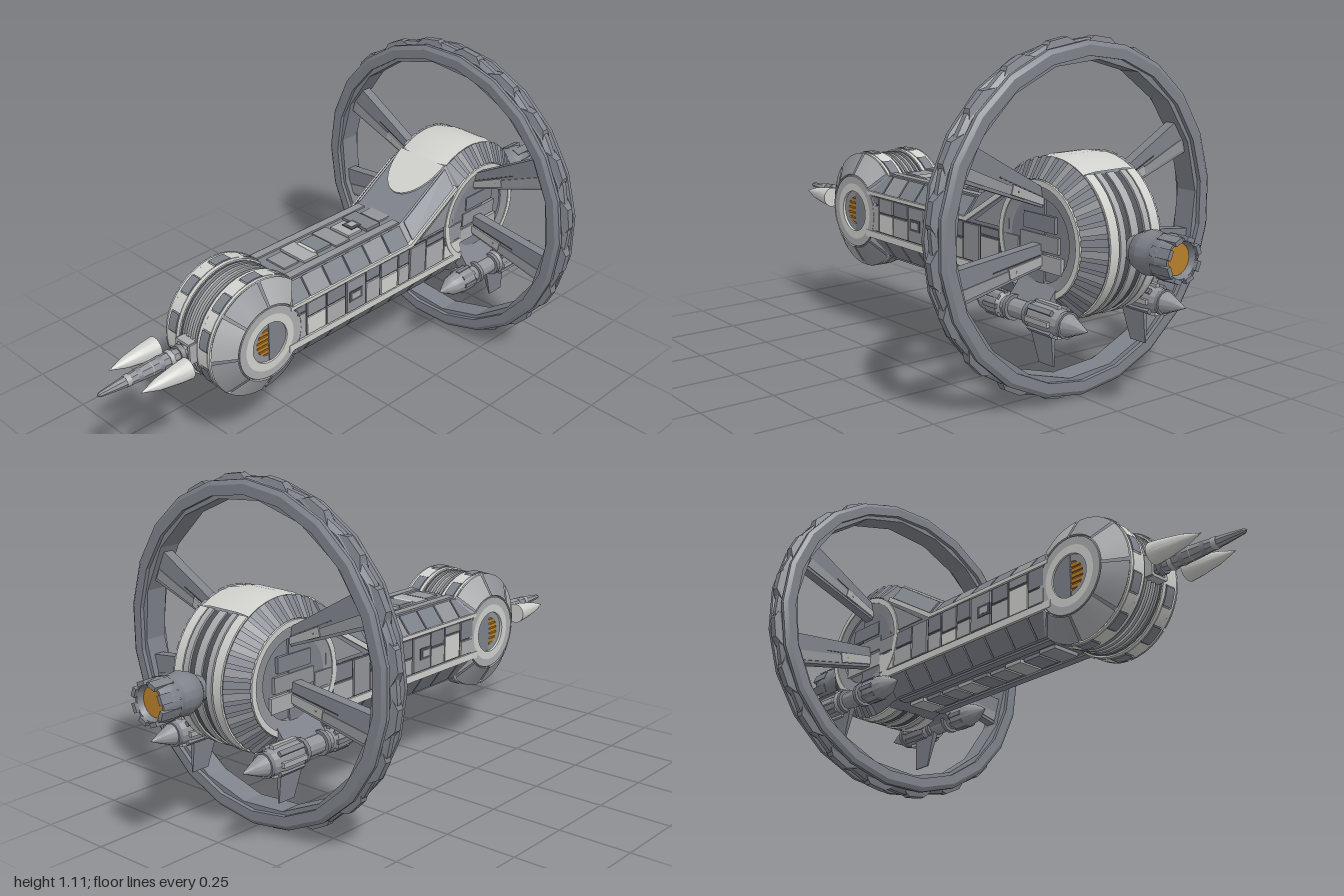
import * as THREE from 'three';
import { toCreasedNormals } from 'three/addons/utils/BufferGeometryUtils.js';
import { ConvexGeometry } from 'three/addons/geometries/ConvexGeometry.js';

const mat = (name, color) => Object.assign(new THREE.MeshStandardMaterial({ color }), { name });
const V = (x, y, z) => new THREE.Vector3(x, y, z);
const rad = THREE.MathUtils.degToRad;

export function createModel() {
  const root = new THREE.Group();
  root.name = 'spaceship';
  const hull = mat('hullGrey', 0x929499), steel = mat('steelBlue', 0x7e828a), dark = mat('darkGap', 0x505359);
  const pale = mat('paleGrey', 0xd0d0cd), mid = mat('midGrey', 0xacadaf), gold = mat('gold', 0xb97f2a);

  let seed = 7;
  const rnd = () => (seed = (seed * 16807) % 2147483647) / 2147483647;

  const add = (name, geo, m, x = 0, y = 0, z = 0) => {
    const mesh = new THREE.Mesh(geo, m);
    mesh.name = name;
    mesh.position.set(x, y, z);
    root.add(mesh);
    return mesh;
  };
  const box = (name, m, w, h, d, x, y, z) => add(name, new THREE.BoxGeometry(w, h, d), m, x, y, z);
  const solid = (name, m, pts) => add(name, new ConvexGeometry(pts), m);

  // Turned part; closed profiles of [radius, along] are oriented outwards
  const turn = (profile, sides, start = 0, length = Math.PI * 2, closed = false, crease = 0.5) => {
    let p = profile.map(([r, a]) => new THREE.Vector2(r, a));
    if (closed) {
      if (THREE.ShapeUtils.area(p) < 0) p.reverse();
      p = [...p, p[0].clone()];
    }
    return toCreasedNormals(new THREE.LatheGeometry(p, sides, start, length), crease);
  };
  const alongX = (g) => g.rotateZ(-Math.PI / 2);
  const alongZ = (g) => g.rotateX(Math.PI / 2);
  // Curved plate on a drum; angles in degrees, 0 = front, 90 = up
  const arc = (name, m, c, profile, a, b) =>
    add(name, alongX(turn(profile, Math.max(1, Math.round((b - a) / 9)), -rad(b), rad(b - a), true)), m, 0, c[0], c[1]);
  // Thin plate raised from its corners, away from the hull axis
  const plate = (name, m, corners, t = 0.006) => {
    const n = corners[1].clone().sub(corners[0]).cross(corners[2].clone().sub(corners[0])).normalize();
    const centre = corners[0].clone().add(corners[2]).multiplyScalar(0.5);
    if (n.dot(V(centre.x, centre.y - 0.44, 0)) < 0) n.negate();
    return solid(name, m, [...corners.map((p) => p.clone().addScaledVector(n, -0.004)),
      ...corners.map((p) => p.clone().addScaledVector(n, t))]);
  };

  // ---- Main hull: eight-sided sections rising to the rear drum
  const stations = [[0.45, 0.585, 0.52], [-0.2, 0.585, 0.52], [-0.43, 0.727, 0.66], [-0.58, 0.727, 0.66]];
  const section = ([z, t, s]) => [1, -1].flatMap((k) =>
    [V(0.15 * k, 0.37, z), V(0.15 * k, s, z), V(0.1 * k, t, z), V(0.1 * k, 0.295, z)]);
  for (let i = 0; i < 3; i++) solid('hull', steel, [...section(stations[i]), ...section(stations[i + 1])]);

  const FRONT = [0.44, 0.45], REAR = [0.515, -0.56];

  for (const k of [1, -1]) {
    // Chamfer plates, upper and lower
    for (let i = 0; i < 6; i++) {
      const z0 = 0.36 - i * 0.093, z1 = z0 - 0.087;
      plate('upperPlate', i % 3 === 1 ? hull : steel,
        [V(0.147 * k, 0.526, z0), V(0.147 * k, 0.526, z1), V(0.103 * k, 0.581, z1), V(0.103 * k, 0.581, z0)], 0.005);
    }
    for (let i = 0; i < 8; i++) {
      const z0 = 0.36 - i * 0.1, z1 = z0 - 0.094;
      plate('lowerPlate', steel,
        [V(0.147 * k, 0.364, z0), V(0.147 * k, 0.364, z1), V(0.103 * k, 0.3, z1), V(0.103 * k, 0.3, z0)], 0.005);
    }
    plate('shoulderPlate', steel,
      [V(0.147 * k, 0.535, -0.215), V(0.147 * k, 0.66, -0.42), V(0.105 * k, 0.717, -0.42), V(0.105 * k, 0.59, -0.215)], 0.005);

    // Pale trim framing the side bay
    box('lowerTrim', pale, 0.014, 0.024, 0.84, 0.151 * k, 0.375, -0.05);
    box('upperTrim', pale, 0.014, 0.013, 0.56, 0.151 * k, 0.522, 0.08);
    const slope = box('slopeTrim', pale, 0.014, 0.016, 0.27, 0.151 * k, 0.59, -0.315);
    slope.rotation.x = Math.atan2(0.14, 0.23);
    plate('sideBay', dark, [V(0.15 * k, 0.38, 0.37), V(0.15 * k, 0.38, -0.42),
      V(0.15 * k, 0.514, -0.42), V(0.15 * k, 0.514, 0.37)], 0.001);

    // Side machinery: tall blocks mixed with stacked pairs
    for (let z = 0.34, i = 0; z > -0.47; i++) {
      const len = 0.045 + rnd() * 0.05, split = 0.03 + rnd() * 0.065;
      const cell = (m, y0, y1, d) => box('sideMachinery', m, 0.008 + d, y1 - y0, len, 0.15 * k, (y0 + y1) / 2, z - len / 2);
      if (i % 4 === 3) cell(hull, 0.392, 0.51, 0.008);
      else {
        cell(i % 4 === 1 ? pale : mid, 0.391, 0.391 + split, 0.008 * rnd());
        cell(i % 2 ? hull : steel, 0.398 + split, 0.512, 0.008 * rnd());
      }
      z -= len + 0.007;
    }
    box('sideWindow', dark, 0.02, 0.04, 0.06, 0.15 * k, 0.45, 0.07);
    box('sideWindowCover', mid, 0.022, 0.022, 0.036, 0.15 * k, 0.45, 0.07);
    plate('rearSidePanel', hull, [V(0.15 * k, 0.525, -0.25), V(0.15 * k, 0.525, -0.42), V(0.15 * k, 0.635, -0.42)], 0.004);

    // Edge rails on top and belly
    box('topRail', hull, 0.03, 0.014, 0.52, 0.082 * k, 0.584, 0.06);
    box('bellyRail', steel, 0.03, 0.014, 0.75, 0.082 * k, 0.295, -0.05);
  }

  // Top and belly machinery
  for (let i = 0; i < 7; i++) {
    const z = 0.25 - i * 0.073;
    box('topBlock', [hull, mid, steel][i % 3], 0.085 + 0.03 * (i % 2), 0.02 + 0.004 * (i % 3), 0.064, 0, 0.581, z);
  }
  box('topHatch', dark, 0.045, 0.024, 0.05, 0, 0.584, -0.07);
  box('topHatchCover', mid, 0.025, 0.027, 0.028, 0, 0.584, -0.07);
  box('topPanel', pale, 0.08, 0.022, 0.08, 0, 0.583, 0.11);
  for (let i = 0; i < 9; i++)
    box('bellyBlock', [hull, steel, mid][i % 3], 0.07 + 0.035 * rnd(), 0.02, 0.07, 0, 0.293, 0.25 - i * 0.08);

  // ---- Front drum
  const half = [[0, 0.138], [0.1, 0.138], [0.105, 0.153], [0.125, 0.153], [0.2, 0.104], [0.2, 0.04], [0.185, 0.04]];
  add('frontDrum', alongX(turn([...half.map(([r, x]) => [r, -x]), ...half.slice().reverse()], 32)), steel, 0, ...FRONT);
  arc('drumChannel', dark, FRONT, [[0.18, -0.041], [0.188, -0.041], [0.188, 0.041], [0.18, 0.041]], -180, 180);
  for (const x of [-0.03, -0.01, 0.01, 0.03])
    arc('drumRib', Math.abs(x) > 0.02 ? hull : mid, FRONT, [[0.18, x - 0.005], [0.2, x - 0.005], [0.2, x + 0.005], [0.18, x + 0.005]], -180, 180);
  for (const k of [1, -1]) {
    const ring = (name, m, r0, r1, x0, x1, a = -180, b = 180) =>
      arc(name, m, FRONT, [[r0, x0 * k], [r1, x0 * k], [r1, x1 * k], [r0, x1 * k]], a, b);
    ring('drumBand', pale, 0.19, 0.205, 0.043, 0.056);
    ring('drumBand', pale, 0.19, 0.205, 0.094, 0.104);
    for (let i = 0; i < 20; i++)
      ring('drumBlock', i % 2 ? pale : steel, 0.19, i % 2 ? 0.206 : 0.209, 0.057, 0.093, i * 18 - 171, i * 18 - 154);
    for (let i = 0; i < 8; i++)
      arc('drumSidePlate', i % 2 ? hull : mid, FRONT,
        [[0.13, 0.148 * k], [0.133, 0.156 * k], [0.205, 0.11 * k], [0.198, 0.102 * k]], i * 45 - 179, i * 45 - 137);
    ring('hubOuterRing', mid, 0.1, 0.127, 0.138, 0.156);
    ring('hubRing', pale, 0.072, 0.1, 0.136, 0.156);
    ring('hubInnerRing', hull, 0.05, 0.072, 0.136, 0.147);
    // Gold hub with slats, in a dark well
    const hub = add('hubWell', new THREE.CylinderGeometry(0.052, 0.052, 0.006, 24), gold, 0.139 * k, ...FRONT);
    hub.rotation.z = Math.PI / 2;
    for (let i = -2; i <= 2; i++)
      box('hubSlat', gold, 0.008, 0.012, 2 * Math.sqrt(0.0026 - (i * 0.018) ** 2), 0.143 * k, 0.44 + i * 0.018, 0.45);
    box('hubShutter', steel, 0.012, 0.08, 0.014, 0.142 * k, 0.44, 0.408);
    // Nose cones
    add('noseCone', alongZ(turn([[0, 0], [0.036, 0], [0.032, 0.04], [0.02, 0.115], [0, 0.18]], 20)), pale, 0.08 * k, 0.44, 0.72);
  }

  // Nose probe
  box('probeMount', dark, 0.06, 0.07, 0.04, 0, 0.44, 0.645);
  for (const k of [1, -1]) {
    box('probeFrame', mid, 0.01, 0.07, 0.05, 0.03 * k, 0.44, 0.65);
    box('probeFrame', mid, 0.06, 0.01, 0.05, 0, 0.44 + 0.033 * k, 0.65);
  }
  add('noseProbe', alongZ(turn([[0, 0.64], [0.02, 0.64], [0.02, 0.69], [0.025, 0.71], [0.025, 0.8], [0.02, 0.87],
    [0.015, 0.93], [0.008, 0.99], [0, 1]], 8, 0, Math.PI * 2, false, 0.1)), hull, 0, 0.44, 0);
  for (let i = 0; i < 6; i++)
    add('probeCollar', alongZ(new THREE.CylinderGeometry(0.029 - i * 0.002, 0.031 - i * 0.002, 0.016, 8)), i % 2 ? mid : steel, 0, 0.44, 0.69 + i * 0.04);

  // ---- Rear drum
  const rh = [[0, 0.143], [0.15, 0.143], [0.155, 0.153], [0.18, 0.153], [0.245, 0.102]];
  add('rearDrum', alongX(turn([...rh.map(([r, x]) => [r, -x]), ...rh.slice().reverse()], 40)), steel, 0, ...REAR);
  arc('dome', pale, REAR, [[0.235, -0.1], [0.246, -0.1], [0.253, -0.055], [0.253, 0.055], [0.246, 0.1], [0.235, 0.1]], 57, 122);
  // Rounded front end of the dome lying on the slope
  const tongue = new THREE.Shape().absellipse(0, 0, 0.1, 0.165, Math.PI, Math.PI * 2, false, 0);
  const tg = new THREE.ExtrudeGeometry(tongue, { depth: 0.01, bevelEnabled: false, curveSegments: 20 });
  add('domeFront', tg, pale, 0, 0.721, -0.427).rotation.x = -Math.PI / 2 + Math.atan2(0.142, 0.23);
  for (const [x, w, m, r] of [[0, 0.03, mid, 0.25], [0.027, 0.022, dark, 0.246], [0.05, 0.022, mid, 0.252], [0.083, 0.034, pale, 0.251]])
    for (const k of x ? [1, -1] : [1])
      arc('rearBand', m, REAR, [[0.23, x * k - w / 2], [r, x * k - w / 2], [r, x * k + w / 2], [0.23, x * k + w / 2]], 123, 290);
  for (const k of [1, -1]) {
    // Ribbed chamfer
    for (let i = 0; i < 24; i++)
      arc('rearRib', i % 2 ? hull : steel, REAR,
        [[0.185, 0.146 * k], [0.186, 0.156 * k], [0.249, 0.107 * k], [0.245, 0.1 * k]], 62 + i * 9, 68 + i * 9);
    arc('rearSideRing', pale, REAR, [[0.165, 0.14 * k], [0.183, 0.14 * k], [0.183, 0.158 * k], [0.165, 0.158 * k]], -180, 180);
    arc('rearInnerRing', hull, REAR, [[0.13, 0.13 * k], [0.165, 0.13 * k], [0.165, 0.155 * k], [0.13, 0.15 * k]], -180, 180);
    for (let i = 0; i < 3; i++)
      box('rearSideBlock', [mid, hull, steel][i], 0.016, 0.05, 0.2 - i * 0.03, 0.146 * k, 0.45 + i * 0.06, -0.56);
  }

  // ---- Main engine
  add('engine', alongZ(turn([[0.04, -0.955], [0.055, -0.99], [0.062, -0.99], [0.07, -0.95], [0.066, -0.92], [0.063, -0.91],
    [0.068, -0.87], [0.056, -0.835], [0.04, -0.82], [0.04, -0.76]], 16)), steel, 0, 0.515, 0);
  add('engineGlow', alongZ(new THREE.CylinderGeometry(0.048, 0.048, 0.01, 16)), gold, 0, 0.515, -0.967);
  for (let i = 0; i < 8; i++) {
    const a = (i + 0.5) * Math.PI / 4;
    box('engineClaw', steel, 0.03, 0.014, 0.07, 0.061 * Math.cos(a), 0.515 + 0.061 * Math.sin(a), -0.965).rotation.z = a + Math.PI / 2;
  }

  // ---- Side pods
  for (const k of [1, -1]) {
    const x = 0.2 * k, y = 0.305;
    add('pod', alongZ(turn([[0, -0.83], [0.018, -0.79], [0.038, -0.74], [0.045, -0.68], [0.045, -0.61], [0.03, -0.59], [0.03, -0.47],
      [0.042, -0.46], [0.042, -0.42], [0.034, -0.37], [0.012, -0.33], [0, -0.31]], 12)), hull, x, y, 0);
    for (let i = 0; i < 8; i++) {
      const a = i * Math.PI / 4, c = Math.cos(a), s = Math.sin(a);
      box('podRib', i % 2 ? steel : mid, 0.012, 0.016, 0.1, x + 0.045 * c, y + 0.045 * s, -0.66).rotation.z = a;
      box('podFrontRib', steel, 0.01, 0.014, 0.06, x + 0.038 * c, y + 0.038 * s, -0.435).rotation.z = a;
    }
    for (const z of [-0.74, -0.59, -0.5])
      add('podCollar', alongZ(new THREE.CylinderGeometry(0.041, 0.041, 0.014, 12)), steel, x, y, z);
    solid('podStrut', steel, [-0.47, -0.64].flatMap((z) =>
      [V(0.1 * k, 0.36, z), V(0.13 * k, 0.41, z), V(x, 0.325, z), V(0.18 * k, 0.29, z)]));
    solid('podFin', steel, [-1, 1].flatMap((e) => [V(0.19 * k + e * 0.01, 0.28, -0.57), V(0.19 * k + e * 0.01, 0.28, -0.67),
      V(0.19 * k + e * 0.002, 0.16, -0.61), V(0.19 * k + e * 0.002, 0.16, -0.675)]));
  }

  // ---- Great ring: faceted hoops, turned against each other
  const hoop = (name, m, inner, outer, z, w, sides, turnBy) =>
    add(name, alongZ(turn([[inner, -w], [outer - 0.014, -w], [outer, -w * 0.4], [outer, w * 0.4], [outer - 0.014, w], [inner, w]],
      sides, turnBy, Math.PI * 2, true, 0.25)), m, 0, 0.558, z);
  hoop('ringCore', steel, 0.495, 0.552, -0.552, 0.021, 20, 0.06);
  hoop('ringFront', steel, 0.5, 0.546, -0.515, 0.015, 22, 0.15);
  hoop('ringBack', steel, 0.5, 0.546, -0.589, 0.015, 22, 0);
  hoop('ringInnerLiner', steel, 0.488, 0.525, -0.552, 0.038, 18, 0.1);
  // Raised pads round the rim
  for (let i = 0; i < 20; i++) {
    const a = (i + 0.5) * Math.PI / 10, r = ([rr, t, z]) => V(rr * Math.sin(a + t), 0.558 + rr * Math.cos(a + t), -0.552 + z);
    solid('rimPad', steel, [-0.02, 0.02].flatMap((z) => [[0.535, -0.13, z], [0.535, 0.13, z], [0.558, -0.06, z * 0.6], [0.558, 0.06, z * 0.6]].map(r)));
  }

  // ---- Spokes
  const upper = [[0.12, 0.605], [0.465, 0.728], [0.42, 0.832], [0.12, 0.66]];
  const lower = [[0.12, 0.44], [0.46, 0.363], [0.495, 0.468], [0.12, 0.51]];
  for (const k of [1, -1]) for (const c of [upper, lower]) {
    const at = (u, v) => { // u runs outwards, v from lower edge to upper edge
      const f = (j) => (c[0][j] * (1 - u) + c[1][j] * u) * (1 - v) + (c[3][j] * (1 - u) + c[2][j] * u) * v;
      return [f(0) * k, f(1)];
    };
    const blade = (name, m, u0, u1, v0, v1, d) => solid(name, m, [[u0, v0], [u1, v0], [u1, v1], [u0, v1]]
      .flatMap(([u, v]) => [V(...at(u, v), -0.552 - d), V(...at(u, v), -0.552 + d)]));
    blade('spoke', steel, 0, 1, 0, 1, 0.018);
    blade('spokeRoot', mid, 0.05, 0.45, 0.12, 0.5, 0.024);
    blade('spokePanel', hull, 0.3, 0.95, 0.1, 0.42, 0.021);
    blade('spokeEdge', dark, 0.1, 0.6, 0.52, 0.56, 0.02);
    blade('spokeLamp', gold, 0.37, 0.385, 0.28, 0.34, 0.0255);
  }
  return root;
}
